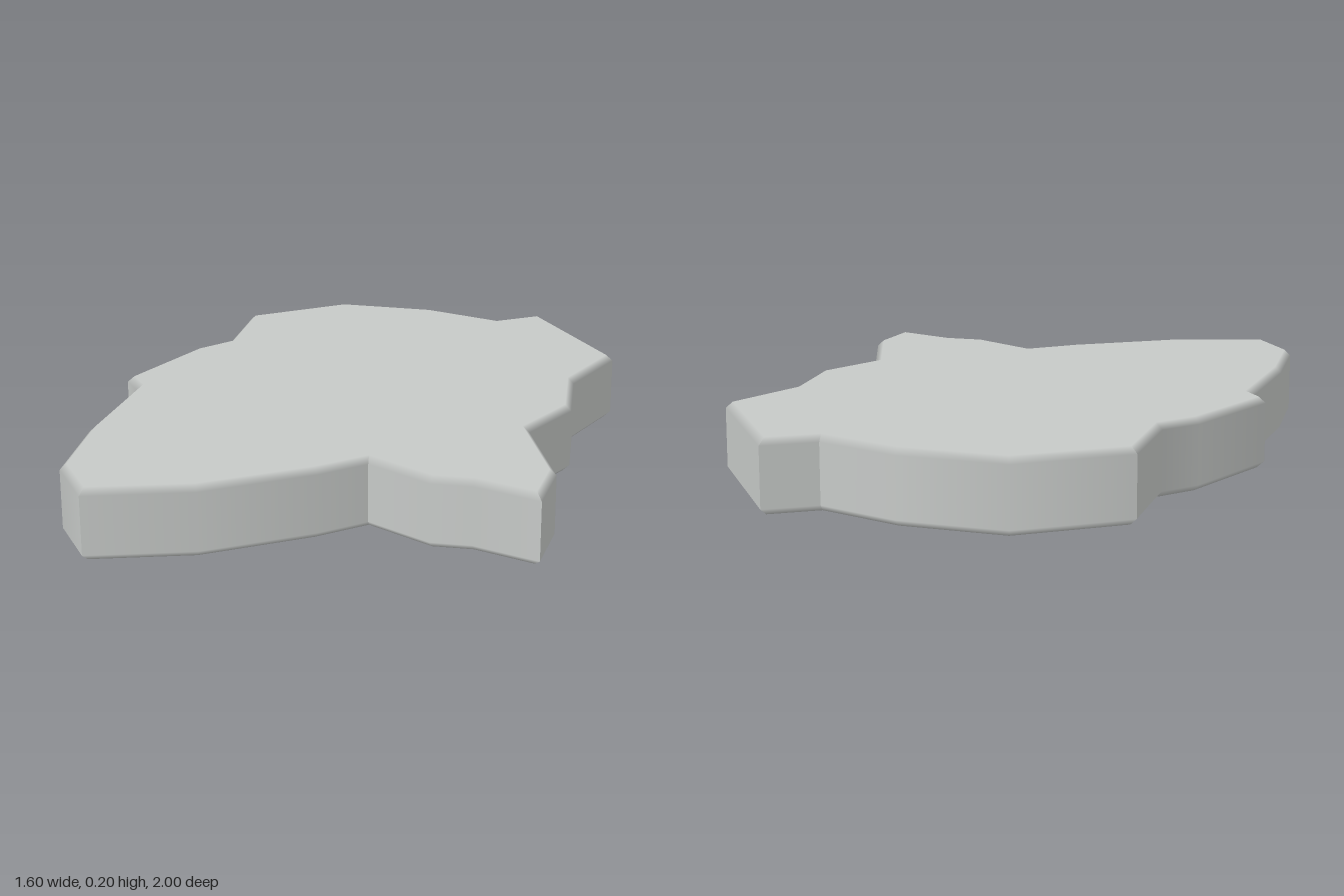
import * as THREE from 'three';

// Outline as [x, z], running from the back tip round the +x side
const OUTLINE = [
  [-0.05, -1.0], [0.36, -0.77], [0.38, -0.51], [0.5, -0.3], [0.5, -0.08], [0.73, 0.15],
  [0.795, 0.325], [0.6, 0.345], [0.5, 0.395], [0.29, 0.38], [0.23, 0.52], [0.06, 0.8],
  [-0.16, 1.0], [-0.33, 0.9], [-0.47, 0.65], [-0.61, 0.31], [-0.685, 0.27], [-0.71, -0.06],
  [-0.68, -0.18], [-0.8, -0.43], [-0.64, -0.72], [-0.37, -0.84], [-0.13, -0.87],
].map(([x, z]) => new THREE.Vector2(x, z));

const HEIGHT = 0.2;
const BEVEL = 0.018;
const CREASE = Math.cos(THREE.MathUtils.degToRad(48));

function slabGeometry() {
  const n = OUTLINE.length;
  const positions = [];
  const normals = [];
  const push = (p, y, nx, ny, nz) => {
    positions.push(p.x, y, p.y);
    normals.push(nx, ny, nz);
  };

  // Outward normal of each edge, and outline inset by the bevel
  const edge = OUTLINE.map((p, i) => {
    const d = OUTLINE[(i + 1) % n].clone().sub(p).normalize();
    return new THREE.Vector2(d.y, -d.x);
  });
  const inset = OUTLINE.map((p, i) => {
    const a = edge[(i + n - 1) % n], b = edge[i];
    return p.clone().addScaledVector(a.clone().add(b), -BEVEL / (1 + a.dot(b)));
  });
  // Gentle corners share a normal, sharp corners keep their own
  const cornerNormal = (e, other) =>
    e.dot(other) > CREASE ? e.clone().add(other).normalize() : e;

  // Cross-section rows: outline, height, vertical normal
  const rows = [
    [inset, 0, -1], [OUTLINE, BEVEL, 0], [OUTLINE, HEIGHT - BEVEL, 0], [inset, HEIGHT, 1],
  ];
  for (let i = 0; i < n; i++) {
    const j = (i + 1) % n;
    const ni = cornerNormal(edge[i], edge[(i + n - 1) % n]);
    const nj = cornerNormal(edge[i], edge[j]);
    for (let r = 0; r < 3; r++) {
      const corner = (row, k, nk) => {
        const [ring, y, up] = rows[row];
        push(ring[k], y, up ? 0 : nk.x, up, up ? 0 : nk.y);
      };
      corner(r, i, ni); corner(r + 1, i, ni); corner(r + 1, j, nj);
      corner(r, i, ni); corner(r + 1, j, nj); corner(r, j, nj);
    }
  }

  // Top and underside
  for (const tri of THREE.ShapeUtils.triangulateShape(inset, [])) {
    const [a, b, c] = tri.map((k) => inset[k]);
    const turn = b.clone().sub(a).cross(c.clone().sub(a));
    const upward = turn > 0 ? [a, c, b] : [a, b, c];
    upward.forEach((p) => push(p, HEIGHT, 0, 1, 0));
    upward.reverse().forEach((p) => push(p, 0, 0, -1, 0));
  }

  const geometry = new THREE.BufferGeometry();
  geometry.setAttribute('position', new THREE.Float32BufferAttribute(positions, 3));
  geometry.setAttribute('normal', new THREE.Float32BufferAttribute(normals, 3));
  return geometry;
}

export function createModel() {
  const group = new THREE.Group();
  group.name = 'stoneSlab';
  const stone = new THREE.MeshStandardMaterial({ color: 0xc6c9c7 });
  stone.name = 'pale grey stone';
  const slab = new THREE.Mesh(slabGeometry(), stone);
  slab.name = 'slab';
  group.add(slab);
  return group;
}
